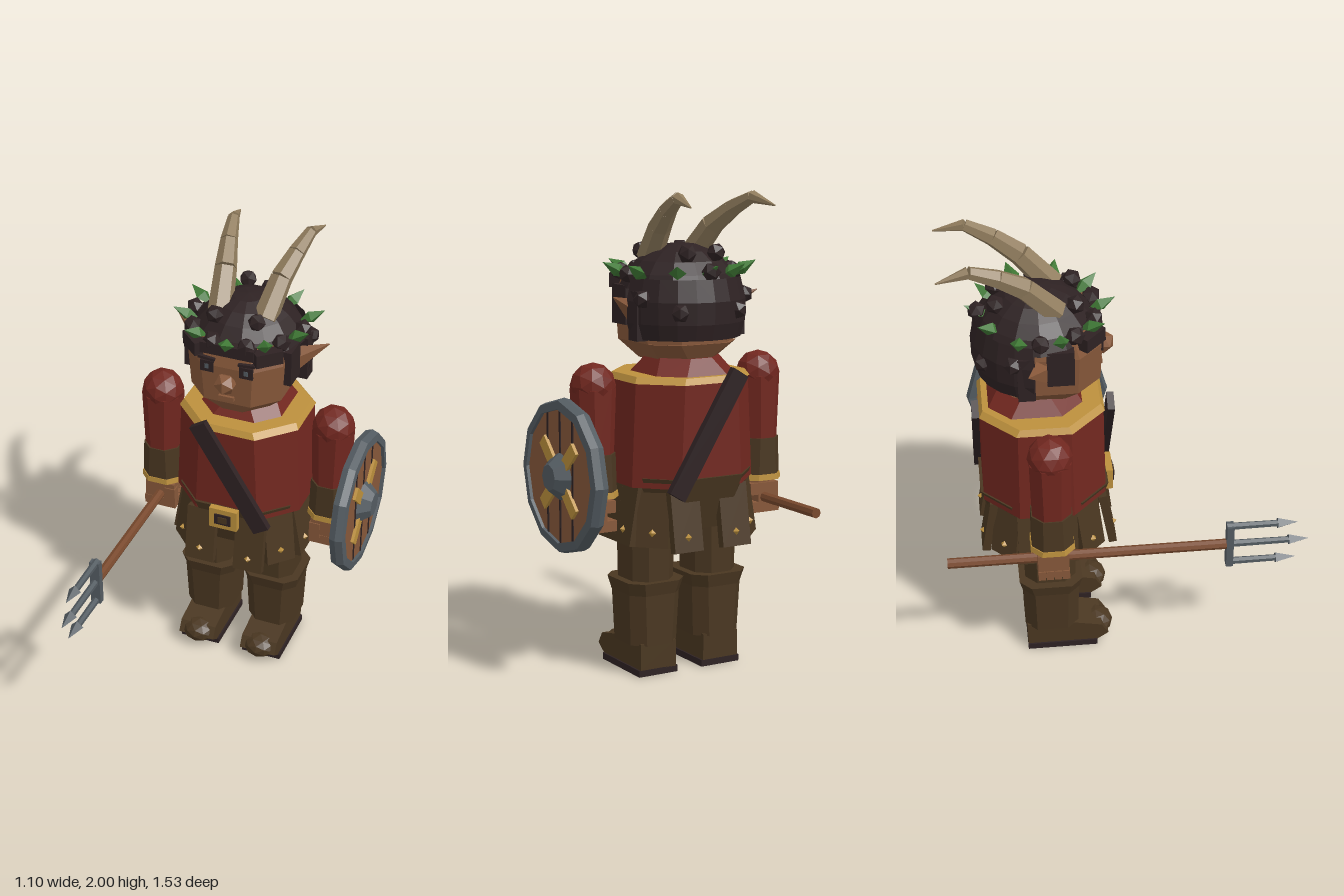
import * as THREE from 'three';

const mat = (name, color, double) => {
  const m = new THREE.MeshStandardMaterial({ color, flatShading: true, side: double ? THREE.DoubleSide : THREE.FrontSide });
  m.name = name;
  return m;
};

export function createModel() {
  const red = mat('red cloth', 0x71271f);
  const brown = mat('brown leather', 0x4a3721);
  const dark = mat('dark hair and strap', 0x2e2223, true);
  const skin = mat('skin', 0x87583a);
  const wood = mat('shaft wood', 0x79492d);
  const horn = mat('horn', 0x907c5d);
  const gold = mat('gold trim', 0xbc903d);
  const steel = mat('steel', 0x545c62);
  const green = mat('leaf green', 0x3f7835);

  const model = new THREE.Group();
  const body = new THREE.Group();
  body.name = 'figure';
  body.position.set(-0.053, 0, -0.325);
  model.add(body);

  const add = (parent, name, geo, material, x = 0, y = 0, z = 0) => {
    const m = new THREE.Mesh(geo, material);
    m.name = name;
    m.position.set(x, y, z);
    parent.add(m);
    return m;
  };
  const box = (parent, name, material, w, h, d, x, y, z) =>
    add(parent, name, new THREE.BoxGeometry(w, h, d), material, x, y, z);

  // Tapered block with chamfered upright edges, from y0 to y1
  const block = (parent, name, material, y0, y1, [w0, d0], [w1, d1], c, x = 0, z = 0) => {
    const g = new THREE.CylinderGeometry(1, 1, y1 - y0, 8).rotateY(Math.PI / 8);
    const p = g.attributes.position;
    for (let i = 0; i < p.count; i++) {
      const px = p.getX(i), pz = p.getZ(i), top = p.getY(i) > 0;
      if (Math.hypot(px, pz) < 0.1) continue;
      const w = (top ? w1 : w0) / 2, d = (top ? d1 : d0) / 2;
      const wide = Math.abs(px) > Math.abs(pz);
      p.setX(i, Math.sign(px) * (wide ? w : w - c));
      p.setZ(i, Math.sign(pz) * (wide ? d - c : d));
    }
    g.computeVertexNormals();
    return add(parent, name, g, material, x, (y0 + y1) / 2, z);
  };

  // Tapered rod between two points
  const rod = (parent, name, material, a, b, r0, r1, sides = 6) => {
    const A = new THREE.Vector3(...a), B = new THREE.Vector3(...b), dir = B.clone().sub(A);
    const m = add(parent, name, new THREE.CylinderGeometry(r1, r0, dir.length(), sides), material);
    m.position.copy(A).add(B).multiplyScalar(0.5);
    m.quaternion.setFromUnitVectors(new THREE.Vector3(0, 1, 0), dir.normalize());
    return m;
  };

  // Legs and boots
  const footShape = new THREE.Shape([[0.2, 0.025], [0.25, 0.06], [0.22, 0.11], [0.1, 0.135], [-0.11, 0.14], [-0.11, 0.025]]
    .map(([z, y]) => new THREE.Vector2(-z, y)));
  for (const s of [-1, 1]) {
    const x = s * 0.152;
    block(body, 'thigh', brown, 0.38, 0.68, [0.195, 0.22], [0.205, 0.23], 0.05, x);
    block(body, 'bootCuff', brown, 0.345, 0.4, [0.24, 0.25], [0.265, 0.275], 0.05, x);
    block(body, 'bootShaft', brown, 0.13, 0.35, [0.22, 0.235], [0.24, 0.245], 0.05, x);
    const foot = new THREE.ExtrudeGeometry(footShape, { depth: 0.17, bevelEnabled: false });
    foot.translate(0, 0, -0.085).rotateY(Math.PI / 2);
    add(body, 'foot', foot, brown, x);
    add(body, 'toeCap', new THREE.IcosahedronGeometry(1, 1), brown, x, 0.068, 0.2).scale.set(0.08, 0.055, 0.075);
    box(body, 'sole', dark, 0.185, 0.028, 0.31, x, 0.014, 0.045);
  }

  // Torso, belt and collar
  block(body, 'tunic', red, 0.81, 1.235, [0.58, 0.52], [0.54, 0.51], 0.145, 0, -0.01);
  block(body, 'waist', brown, 0.63, 0.85, [0.42, 0.42], [0.52, 0.545], 0.12, 0, -0.01);
  block(body, 'collarTrim', gold, 1.232, 1.258, [0.55, 0.52], [0.52, 0.49], 0.145, 0, -0.01);
  block(body, 'neck', red, 1.25, 1.325, [0.38, 0.4], [0.28, 0.3], 0.09, 0, -0.035);
  for (const s of [-1, 1]) {
    const strap = box(body, 'shoulderStrap', dark, 0.08, 0.57, 0.03, 0.03, 1.03, -0.005 + s * 0.28);
    strap.rotation.z = 0.55;
  }
  box(body, 'buckle', gold, 0.13, 0.1, 0.03, 0, 0.805, 0.275);
  box(body, 'buckleHole', dark, 0.075, 0.052, 0.008, 0, 0.805, 0.292);
  box(body, 'bucklePin', brown, 0.04, 0.03, 0.006, 0, 0.805, 0.297);

  // Skirt panels: x, z, facing angle and height for the left half, mirrored
  for (const s of [-1, 1]) {
    for (const [x, z, yaw, y] of [[0.115, 0.255, 0, 0.68], [0.215, 0.165, 0.8, 0.695], [0.27, 0.05, 1.57, 0.695],
      [0.27, -0.07, 1.57, 0.695], [0.215, -0.175, 2.34, 0.695], [0.115, -0.25, Math.PI, 0.68]]) {
      const panel = new THREE.Group();
      panel.name = 'skirtPanel';
      panel.position.set(s * x, y, z);
      panel.rotation.order = 'YXZ';
      panel.rotation.set(-0.17, s * yaw, 0);
      body.add(panel);
      box(panel, 'panel', brown, 0.135, 0.26, 0.035, 0, 0, 0);
      add(panel, 'stud', new THREE.OctahedronGeometry(0.016), gold, 0, -0.07, 0.018);
    }
  }

  // Arms and hands
  for (const s of [-1, 1]) {
    const x = s * 0.4;
    add(body, 'shoulder', new THREE.IcosahedronGeometry(0.094, 1), red, x, 1.22, 0);
    block(body, 'sleeve', red, 0.93, 1.21, [0.155, 0.16], [0.17, 0.17], 0.045, x);
    block(body, 'forearm', brown, 0.78, 0.945, [0.175, 0.175], [0.165, 0.17], 0.045, x);
    block(body, 'cuffTrim', gold, 0.765, 0.79, [0.185, 0.185], [0.18, 0.18], 0.045, x);
    block(body, 'wrist', skin, 0.72, 0.77, [0.11, 0.11], [0.11, 0.11], 0.03, x);
    box(body, 'palm', skin, 0.1, 0.12, 0.13, x + s * 0.02, 0.69, 0);
    box(body, 'handBack', skin, 0.14, 0.05, 0.13, x, 0.725, 0);
    for (let i = 0; i < 4; i++) box(body, 'finger', skin, 0.15, 0.045, 0.03, x, 0.645, -0.05 + i * 0.034);
    box(body, 'thumb', skin, 0.05, 0.075, 0.04, x - s * 0.05, 0.69, 0.05);
  }

  // Head
  block(body, 'jaw', skin, 1.31, 1.385, [0.27, 0.34], [0.41, 0.44], 0.09, 0, 0.005);
  block(body, 'face', skin, 1.385, 1.56, [0.41, 0.44], [0.43, 0.455], 0.1, 0, 0.015);
  block(body, 'brow', skin, 1.56, 1.65, [0.43, 0.455], [0.39, 0.41], 0.1, 0, 0.015);
  add(body, 'nose', new THREE.IcosahedronGeometry(0.05, 0), skin, 0, 1.49, 0.255);
  box(body, 'mouth', skin, 0.07, 0.018, 0.03, 0, 1.415, 0.235);
  for (const s of [-1, 1]) {
    box(body, 'eye', dark, 0.06, 0.052, 0.009, s * 0.088, 1.555, 0.242);
    box(body, 'pupil', steel, 0.018, 0.022, 0.006, s * 0.088, 1.555, 0.245);
    box(body, 'eyebrow', dark, 0.075, 0.012, 0.02, s * 0.09, 1.592, 0.238).rotation.z = s * 0.08;
    const ear = rod(body, 'ear', skin, [s * 0.2, 1.51, -0.005], [s * 0.345, 1.58, -0.07], 0.055, 0.002, 4);
    ear.scale.z = 0.7;
  }

  // Hair: cap, full back half and side locks
  add(body, 'hairCap', new THREE.SphereGeometry(0.265, 14, 5, 0, Math.PI * 2, 0, 1.24), dark, 0, 1.52, -0.015);
  const backProfile = [[0.2, 1.4], [0.252, 1.405], [0.27, 1.47], [0.272, 1.56], [0.25, 1.65]];
  add(body, 'hairBack', new THREE.LatheGeometry(backProfile.map(p => new THREE.Vector2(...p)), 10, Math.PI / 2 + 0.12, Math.PI - 0.24),
    dark, 0, 0, -0.015);
  for (const s of [-1, 1]) {
    box(body, 'sideLock', dark, 0.055, 0.16, 0.11, s * 0.215, 1.535, 0.065);
    box(body, 'sideLock', dark, 0.05, 0.2, 0.07, s * 0.233, 1.5, -0.075);
    box(body, 'fringe', dark, 0.12, 0.06, 0.05, s * 0.165, 1.625, 0.195).rotation.y = s * 0.75;
  }
  box(body, 'fringe', dark, 0.24, 0.05, 0.04, 0, 1.64, 0.224);

  // Wreath of leaves and berries: angle from the front, height, distance out
  const around = (name, geo, material, angle, y, r) => {
    const m = add(body, name, geo, material, Math.sin(angle) * r, y, Math.cos(angle) * r - 0.015);
    m.rotation.order = 'YXZ';
    m.rotation.y = angle;
    return m;
  };
  const leafGeo = new THREE.OctahedronGeometry(1).scale(0.036, 0.028, 0.068);
  const berryGeo = new THREE.IcosahedronGeometry(0.04, 0);
  for (const a of [0, 0.62, -0.62, 1.25, -1.25, 1.9, -1.9, 2.55, -2.55, Math.PI]) {
    around('leaf', leafGeo, green, a, 1.675, Math.abs(a) > 2.5 ? 0.23 : 0.262).rotation.x = -0.5;
  }
  for (const [a, y, r] of [[0.32, 1.665, 0.24], [0.95, 1.665, 0.245], [1.57, 1.665, 0.245],
    [0.55, 1.745, 0.18], [2.75, 1.75, 0.18], [2.0, 1.57, 0.265], [2.6, 1.52, 0.265]]) {
    for (const s of [-1, 1]) around('berry', berryGeo, dark, s * a, y, r);
  }
  around('berry', berryGeo, dark, Math.PI, 1.68, 0.24);

  // Horns, sweeping up and back
  const hornPath = [[0.1, 1.72, 0.06, 0.054], [0.125, 1.855, -0.065, 0.048], [0.152, 1.925, -0.17, 0.038],
    [0.175, 1.975, -0.28, 0.026], [0.195, 1.945, -0.41, 0.003]];
  for (const s of [-1, 1]) {
    for (let i = 0; i < 4; i++) {
      const [ax, ay, az, r0] = hornPath[i], [bx, by, bz, r1] = hornPath[i + 1];
      rod(body, 'horn', horn, [s * ax, ay, az], [s * bx, by, bz], r0, r1, 6);
    }
  }

  // Shield on the left arm, its face along +x
  const shield = new THREE.Group();
  shield.name = 'shield';
  shield.position.set(0.475, 0.86, -0.32);
  shield.rotation.z = -Math.PI / 2;
  model.add(shield);
  const rimProfile = [[0.275, -0.02], [0.31, -0.028], [0.32, 0], [0.31, 0.03], [0.275, 0.034], [0.275, -0.02]];
  add(shield, 'shieldRim', new THREE.LatheGeometry(rimProfile.map(p => new THREE.Vector2(...p)), 12), steel);
  add(shield, 'shieldBoard', new THREE.CylinderGeometry(0.285, 0.285, 0.036, 12), skin, 0, 0.002);
  for (const z of [-0.105, 0, 0.105]) {
    const len = 2 * Math.sqrt(0.275 ** 2 - z * z);
    box(shield, 'plankGap', dark, len, 0.042, 0.012, 0, 0.002, z);
  }
  for (let i = 0; i < 4; i++) {
    const a = Math.PI / 4 + i * Math.PI / 2;
    box(shield, 'shieldBrace', gold, 0.13, 0.016, 0.055, Math.cos(a) * 0.125, 0.026, Math.sin(a) * 0.125).rotation.y = -a;
  }
  add(shield, 'shieldBoss', new THREE.CylinderGeometry(0.055, 0.1, 0.055, 8), steel, 0, 0.047);
  box(shield, 'shieldGrip', brown, 0.08, 0.05, 0.22, 0, -0.035, 0);

  // Trident in the right hand
  const trident = new THREE.Group();
  trident.name = 'trident';
  trident.position.set(-0.453, 0.688, 0);
  model.add(trident);
  rod(trident, 'shaft', wood, [0, 0, -0.765], [0, 0, 0.42], 0.022, 0.022, 8);
  box(trident, 'crossbar', steel, 0.045, 0.215, 0.03, 0, -0.003, 0.425);
  for (const [y, tip] of [[-0.098, 0.71], [0, 0.762], [0.096, 0.71]]) {
    rod(trident, 'tine', steel, [0, y, 0.41], [0, y, tip - 0.06], 0.016, 0.014, 6);
    rod(trident, 'barb', steel, [0, y, tip - 0.085], [0, y, tip], 0.028, 0.001, 4);
  }
  return model;
}
